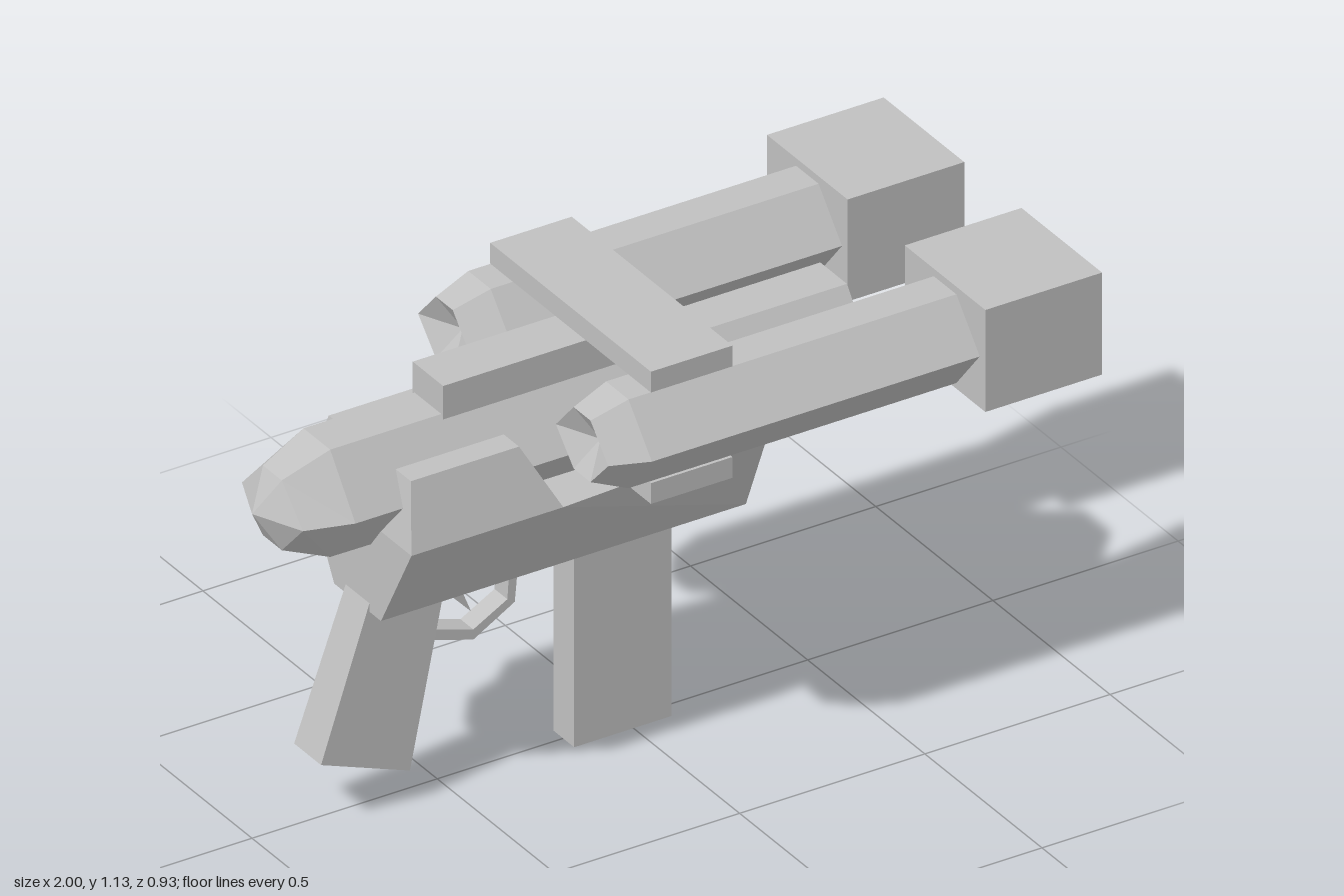
import * as THREE from 'three';

const grey = new THREE.MeshStandardMaterial({ color: 0xc0c0c0, flatShading: true });
grey.name = 'grey';

// Lofts convex [y, z] rings (counterclockwise seen from +x) along x; tipX places the point of the first cap
function loft(stations, tipX = stations[0].x) {
  const pos = [];
  const n = stations[0].ring.length;
  const pt = (s, i) => [s.x, ...s.ring[i % n]];
  const centre = (s, x) => [x, ...[0, 1].map(k => s.ring.reduce((t, p) => t + p[k], 0) / n)];
  const first = stations[0], last = stations[stations.length - 1];
  for (let i = 0; i < n; i++) {
    for (let k = 0; k < stations.length - 1; k++) {
      const a = pt(stations[k], i), b = pt(stations[k], i + 1);
      const c = pt(stations[k + 1], i + 1), d = pt(stations[k + 1], i);
      pos.push(...a, ...b, ...c, ...a, ...c, ...d);
    }
    pos.push(...centre(first, tipX), ...pt(first, i + 1), ...pt(first, i));
    pos.push(...centre(last, last.x), ...pt(last, i), ...pt(last, i + 1));
  }
  const g = new THREE.BufferGeometry();
  g.setAttribute('position', new THREE.Float32BufferAttribute(pos, 3));
  g.computeVertexNormals();
  return g;
}

// Six-sided section with a flat top, a flat bottom and a ridge on each side
const hex = (x, y, z, wide, flat, up, down) => ({
  x,
  ring: [[y, z - wide], [y + up, z - flat], [y + up, z + flat],
    [y, z + wide], [y - down, z + flat], [y - down, z - flat]],
});

// Trapezoid section
const trapezoid = (x, y0, y1, low, high) => ({
  x, ring: [[y0, -low], [y1, -high], [y1, high], [y0, low]],
});

// Side outline extruded to a width centred on z = 0
function plate(points, width) {
  const shape = new THREE.Shape(points.map(p => new THREE.Vector2(...p)));
  return new THREE.ExtrudeGeometry(shape, { depth: width, bevelEnabled: false }).translate(0, 0, -width / 2);
}

// Box from its limits
const box = (x0, x1, y0, y1, z0, z1) => new THREE.BoxGeometry(x1 - x0, y1 - y0, z1 - z0)
  .translate((x0 + x1) / 2, (y0 + y1) / 2, (z0 + z1) / 2);

export function createModel() {
  const model = new THREE.Group();
  const add = (name, geometry) => {
    const mesh = new THREE.Mesh(geometry, grey);
    mesh.name = name;
    model.add(mesh);
  };

  // Central body with a pointed rear
  add('mainBody', loft([
    hex(-0.945, 0.86, 0, 0.13, 0.04, 0.09, 0.095),
    hex(-0.825, 0.86, 0, 0.165, 0.057, 0.142, 0.142),
    hex(0.57, 0.86, 0, 0.165, 0.057, 0.142, 0.155),
  ], -1));

  // Side tubes with hollow rear ends, and end blocks
  for (const [side, s] of [['left', 1], ['right', -1]]) {
    const z = 0.294 * s;
    add(side + 'Tube', loft([
      hex(-0.295, 0.965, z, 0.112, 0.036, 0.083, 0.08),
      hex(-0.2, 0.965, z, 0.148, 0.048, 0.115, 0.12),
      hex(0.69, 0.965, z, 0.148, 0.048, 0.115, 0.12),
    ], -0.245));
    add(side + 'EndBlock', box(0.685, 1, 0.83, 1.1, z - 0.172, z + 0.172));
  }

  // Cross bars and top rail
  add('upperCrossBar', box(-0.14, 0.08, 1.08, 1.135, -0.343, 0.343));
  add('lowerCrossBar', box(-0.14, 0.08, 0.785, 0.84, -0.343, 0.343));
  add('topRail', box(-0.525, 0.125, 0.99, 1.08, -0.065, 0.065));

  // Lower housing, narrowing to the front of the top edge
  const housing = loft([
    trapezoid(-0.715, 0.535, 0.772, 0.1, 0.23),
    trapezoid(-0.305, 0.535, 0.772, 0.1, 0.23),
    trapezoid(0.27, 0.535, 0.772, 0.1, 0.197),
  ]);
  add('lowerHousing', housing);

  // Raised cheek block: a box narrowed toward its top
  const cheek = box(-0.715, -0.305, 0.772, 0.932, -0.23, 0.23);
  const c = cheek.attributes.position;
  for (let i = 0; i < c.count; i++) {
    if (c.getY(i) > 0.85) c.setXYZ(i, c.getX(i) < -0.5 ? -0.682 : -0.39, 0.932, Math.sign(c.getZ(i)) * 0.175);
  }
  cheek.computeVertexNormals();
  add('cheekBlock', cheek);

  // Magazine
  add('magazine', box(-0.16, 0.103, 0, 0.545, -0.041, 0.047));

  // Slanted grip, slightly thicker at the foot
  const grip = plate([[-0.85, 0.175], [-0.61, 0.085], [-0.51, 0.545], [-0.7, 0.6]], 0.1);
  const g = grip.attributes.position;
  for (let i = 0; i < g.count; i++) if (g.getY(i) < 0.3) g.setZ(i, g.getZ(i) * 1.15);
  grip.computeVertexNormals();
  add('grip', grip);

  // Trigger guard and trigger
  add('triggerGuard', plate([
    [-0.545, 0.395], [-0.42, 0.357], [-0.308, 0.422], [-0.297, 0.54],
    [-0.321, 0.54], [-0.328, 0.435], [-0.42, 0.384], [-0.54, 0.422],
  ], 0.055));
  add('trigger', plate([
    [-0.478, 0.54], [-0.47, 0.48], [-0.418, 0.425], [-0.442, 0.485], [-0.435, 0.54],
  ], 0.03));

  return model;
}
